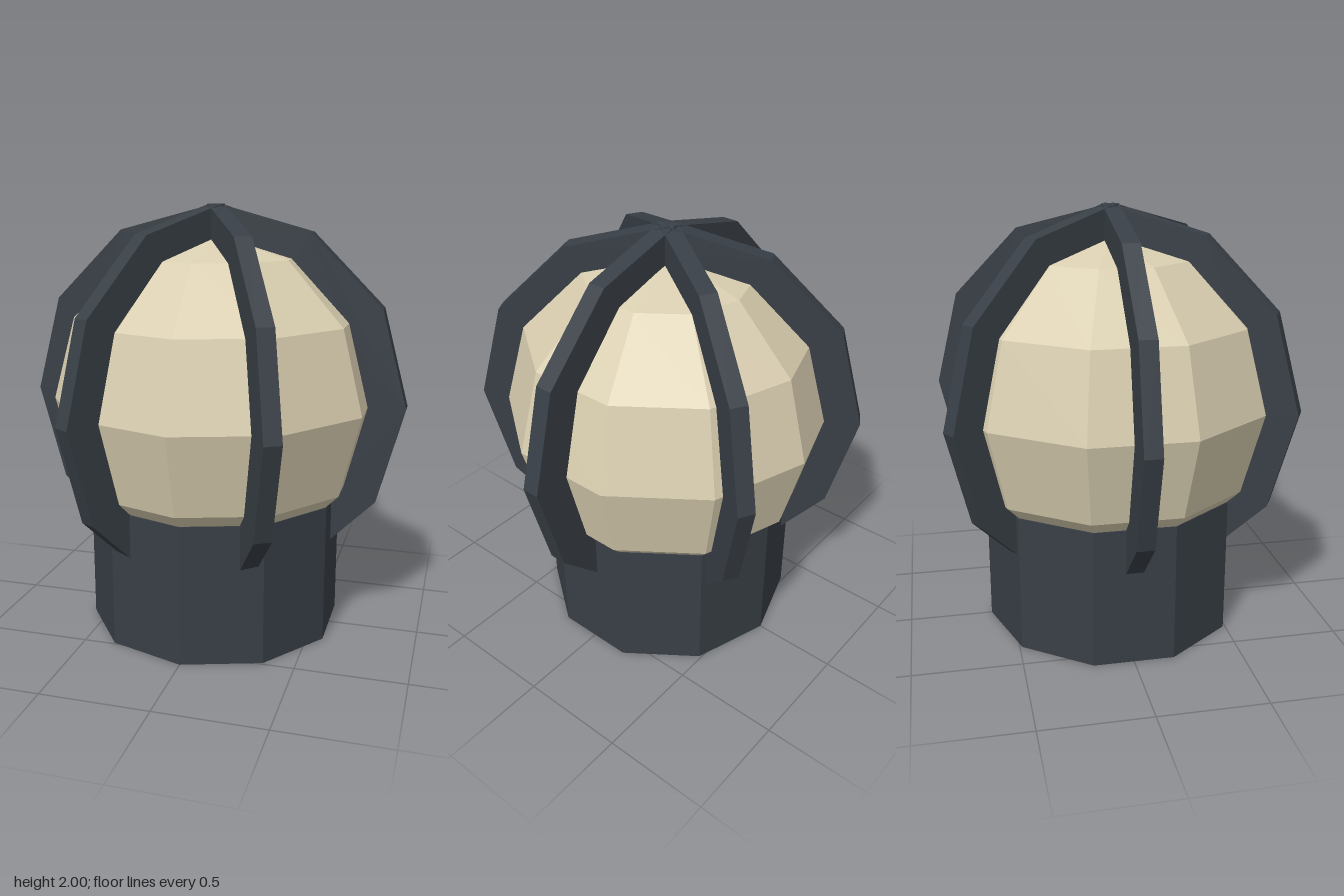
import * as THREE from 'three';

const CENTRE_Y = 1.1;

export function createModel() {
  const group = new THREE.Group();
  group.name = 'cagedLamp';

  const metal = new THREE.MeshStandardMaterial({ color: 0x383f46, flatShading: true });
  metal.name = 'darkMetal';
  const glass = new THREE.MeshStandardMaterial({ color: 0xd9ceb0, flatShading: true });
  glass.name = 'creamGlass';

  const add = (name, geometry, material, y) => {
    const mesh = new THREE.Mesh(geometry, material);
    mesh.name = name;
    mesh.position.y = y;
    group.add(mesh);
    return mesh;
  };

  // Ten-sided socket, with a corner facing the front
  add('base', new THREE.CylinderGeometry(0.605, 0.605, 0.655, 10), metal, 0.3275);

  // Faceted globe, its corners lined up with the base
  const globe = new THREE.SphereGeometry(0.765, 10, 6).rotateY(Math.PI / 2);
  add('globe', globe, glass, CENTRE_Y);

  // Arched cage bar: a 12-sided arc whose feet run into the base
  const arc = (radius) => {
    const points = [];
    for (let deg = -60; deg <= 240; deg += 30) {
      const a = THREE.MathUtils.degToRad(deg);
      points.push(new THREE.Vector2(radius * Math.cos(a), radius * Math.sin(a)));
    }
    return points;
  };
  const outline = new THREE.Shape([...arc(0.9), ...arc(0.7).reverse()]);
  const bar = new THREE.ExtrudeGeometry(outline, { depth: 0.08, bevelEnabled: false });
  bar.translate(0, 0, -0.04);

  // Three arches crossing at the top make six ribs
  for (let i = 0; i < 3; i++) {
    add(`cageArch${i + 1}`, bar, metal, CENTRE_Y).rotation.y = (i * Math.PI) / 3;
  }

  return group;
}
